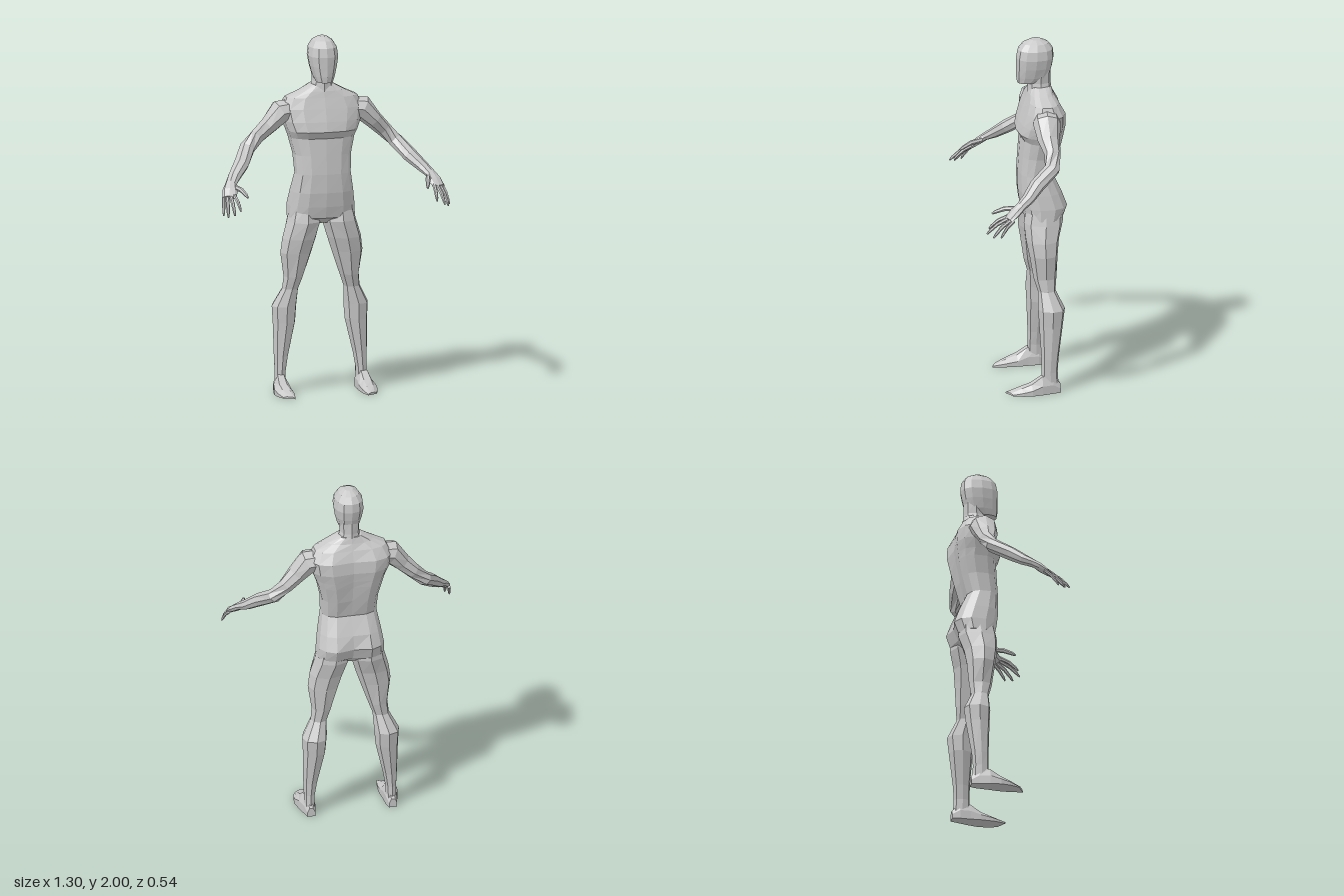
import * as THREE from 'three';

const V = (x, y, z) => new THREE.Vector3(x, y, z);
const skin = new THREE.MeshStandardMaterial({ color: 0xc8c8c8 });
skin.name = 'plain grey';

// Skin a list of rings into a closed, faceted solid
function loft(name, rings) {
  const n = rings[0].length, tris = [];
  const cap = (r) => {
    const c = r.reduce((a, p) => a.add(p), V(0, 0, 0)).divideScalar(n);
    return r.map((p, i) => [c, r[(i + 1) % n], p]);
  };
  for (let k = 0; k < rings.length - 1; k++) {
    for (let i = 0; i < n; i++) {
      const j = (i + 1) % n, a = rings[k], b = rings[k + 1];
      tris.push([a[i], a[j], b[j]], [a[i], b[j], b[i]]);
    }
  }
  tris.push(...cap(rings[0]));
  tris.push(...cap(rings[rings.length - 1]).map(([c, p, q]) => [c, q, p]));
  // make every face point outwards, whichever way the rings run
  const mid = rings[0][0];
  const volume = tris.reduce((s, [a, b, c]) =>
    s + a.clone().sub(mid).dot(b.clone().sub(mid).cross(c.clone().sub(mid))), 0);
  if (volume < 0) tris.forEach((t) => t.reverse());
  const geometry = new THREE.BufferGeometry().setFromPoints(tris.flat());
  geometry.computeVertexNormals();
  const mesh = new THREE.Mesh(geometry, skin);
  mesh.name = name;
  return mesh;
}

const bend = (v, p) => Math.sign(v) * Math.pow(Math.abs(v), p);

// Level ring between x0..x1 and zBack..zFront; groove pulls in the back centre
function levelRing([y, x0, x1, zf, zb, groove = 0], n, p) {
  return Array.from({ length: n }, (_, i) => {
    const t = (i / n) * Math.PI * 2;
    const x = (x0 + x1) / 2 + bend(Math.sin(t), p) * (x1 - x0) / 2;
    const z = (zf + zb) / 2 + bend(Math.cos(t), p) * (zf - zb) / 2;
    return V(x, y, z + (i === n / 2 ? groove : 0));
  });
}
const symmetric = (rows, n, p) =>
  rows.map(([y, w, ...rest]) => levelRing([y, -w, w, ...rest], n, p));

// Rings across a limb path; each row is x, y, z, half width, half thickness
function limbRings(rows, n) {
  const pts = rows.map((r) => V(r[0], r[1], r[2]));
  return rows.map((r, k) => {
    const d = pts[Math.min(k + 1, pts.length - 1)].clone().sub(pts[Math.max(k - 1, 0)]).normalize();
    const u = V(0, 1, 0).cross(d).normalize(), v = d.clone().cross(u);
    return Array.from({ length: n }, (_, i) => {
      const t = (i / n) * Math.PI * 2;
      return pts[k].clone().addScaledVector(u, Math.cos(t) * r[3]).addScaledVector(v, Math.sin(t) * r[4]);
    });
  });
}

const mirror = (rings, s) => rings.map((r) => r.map((p) => V(p.x * s, p.y, p.z)));

// Rows: y, half width, z front, z back, back groove
const TORSO = [
  [0.95, 0.06, -0.08, -0.19], [0.985, 0.19, -0.03, -0.25, 0.03],
  [1.05, 0.187, -0.015, -0.275, 0.03], [1.13, 0.175, -0.005, -0.245, 0.012],
  [1.235, 0.156, -0.005, -0.195, 0.008], [1.34, 0.162, -0.012, -0.225, 0.015],
  [1.435, 0.185, -0.02, -0.247, 0.02], [1.475, 0.2, 0.005, -0.255, 0.02],
  [1.53, 0.222, -0.008, -0.264, 0.02], [1.6, 0.235, -0.03, -0.26, 0.02],
  [1.66, 0.205, -0.05, -0.225, 0.01], [1.695, 0.13, -0.06, -0.2], [1.73, 0.065, -0.075, -0.19],
];
const NECK = [[1.64, 0.085, -0.05, -0.2], [1.7, 0.068, -0.06, -0.195],
  [1.75, 0.055, -0.063, -0.19], [1.83, 0.06, -0.07, -0.19]];
const HEAD = [
  [1.752, 0.046, -0.002, -0.13], [1.785, 0.06, 0.003, -0.18], [1.84, 0.075, 0.004, -0.197],
  [1.895, 0.084, 0.005, -0.207], [1.945, 0.077, -0.005, -0.203],
  [1.98, 0.055, -0.035, -0.178], [2.0, 0.025, -0.075, -0.135],
];
// Rows: y, inner x, outer x, z front, z back
const LEG = [
  [1.05, 0.02, 0.175, -0.04, -0.24], [0.96, 0.004, 0.198, -0.022, -0.242],
  [0.865, 0.032, 0.225, -0.03, -0.215], [0.785, 0.058, 0.235, -0.045, -0.205],
  [0.65, 0.105, 0.215, -0.067, -0.195], [0.58, 0.13, 0.222, -0.088, -0.187],
  [0.48, 0.135, 0.275, -0.085, -0.235], [0.39, 0.142, 0.27, -0.09, -0.224],
  [0.2, 0.186, 0.266, -0.1, -0.196], [0.12, 0.2, 0.262, -0.1, -0.19], [0.04, 0.203, 0.262, -0.1, -0.195],
];
// Rows: z, inner x, outer x, height, slant of the toe line
const FOOT = [
  [-0.203, 0.21, 0.255, 0.05, 0], [-0.16, 0.2, 0.265, 0.1, 0], [-0.1, 0.198, 0.28, 0.1, 0],
  [-0.04, 0.193, 0.29, 0.06, 0], [0.03, 0.195, 0.285, 0.038, 0.02], [0.1, 0.208, 0.268, 0.012, 0.035],
];
const ARM = [
  [0.15, 1.59, -0.14, 0.07, 0.06], [0.235, 1.58, -0.13, 0.077, 0.068], [0.3, 1.508, -0.128, 0.062, 0.05],
  [0.36, 1.45, -0.138, 0.046, 0.043], [0.425, 1.385, -0.125, 0.046, 0.04], [0.485, 1.315, -0.03, 0.046, 0.038],
  [0.54, 1.26, 0.03, 0.038, 0.03], [0.572, 1.228, 0.077, 0.033, 0.022],
  [0.586, 1.2, 0.112, 0.043, 0.021], [0.6, 1.168, 0.15, 0.039, 0.014],
];
// Rows: knuckle xyz, tip xyz, radius
const FINGERS = {
  thumb: [0.552, 1.215, 0.1, 0.515, 1.178, 0.228, 0.014],
  indexFinger: [0.572, 1.178, 0.152, 0.562, 1.108, 0.254, 0.011],
  middleFinger: [0.592, 1.17, 0.155, 0.601, 1.09, 0.272, 0.011],
  ringFinger: [0.61, 1.165, 0.143, 0.63, 1.075, 0.24, 0.011],
  littleFinger: [0.626, 1.168, 0.125, 0.646, 1.078, 0.2, 0.01],
};

export function createModel() {
  const model = new THREE.Group();
  model.name = 'figure';
  model.add(
    loft('torso', symmetric(TORSO, 14, 0.75)),
    loft('neck', symmetric(NECK, 8, 0.9)),
    loft('head', symmetric(HEAD, 12, 0.85)),
  );

  for (const [side, s] of [['left', 1], ['right', -1]]) {
    const add = (name, rings) => model.add(loft(side + name, mirror(rings, s)));
    add('Leg', LEG.map((r) => levelRing(r, 8, 0.85)));
    add('Foot', FOOT.map(([z, a, b, h, slant]) => {
      const w = b - a;
      return [[a, 0], [b, 0], [b, h * 0.5], [b - w * 0.28, h], [a + w * 0.28, h], [a, h * 0.5]]
        .map(([x, y]) => V(x, y, z - slant * (x - a) / w));
    }));
    add('Arm', limbRings(ARM, 8));

    // fingers arch slightly between knuckle and tip
    for (const [name, [x0, y0, z0, x1, y1, z1, r]] of Object.entries(FINGERS)) {
      const rows = [[0, 0, 1], [0.5, 0.012, 0.95], [0.85, 0.006, 0.75], [1, 0, 0.4]].map(([t, lift, k]) =>
        [x0 + (x1 - x0) * t, y0 + (y1 - y0) * t + lift, z0 + (z1 - z0) * t, r * k, r * k]);
      add(name[0].toUpperCase() + name.slice(1), limbRings(rows, 6));
    }
  }
  return model;
}
